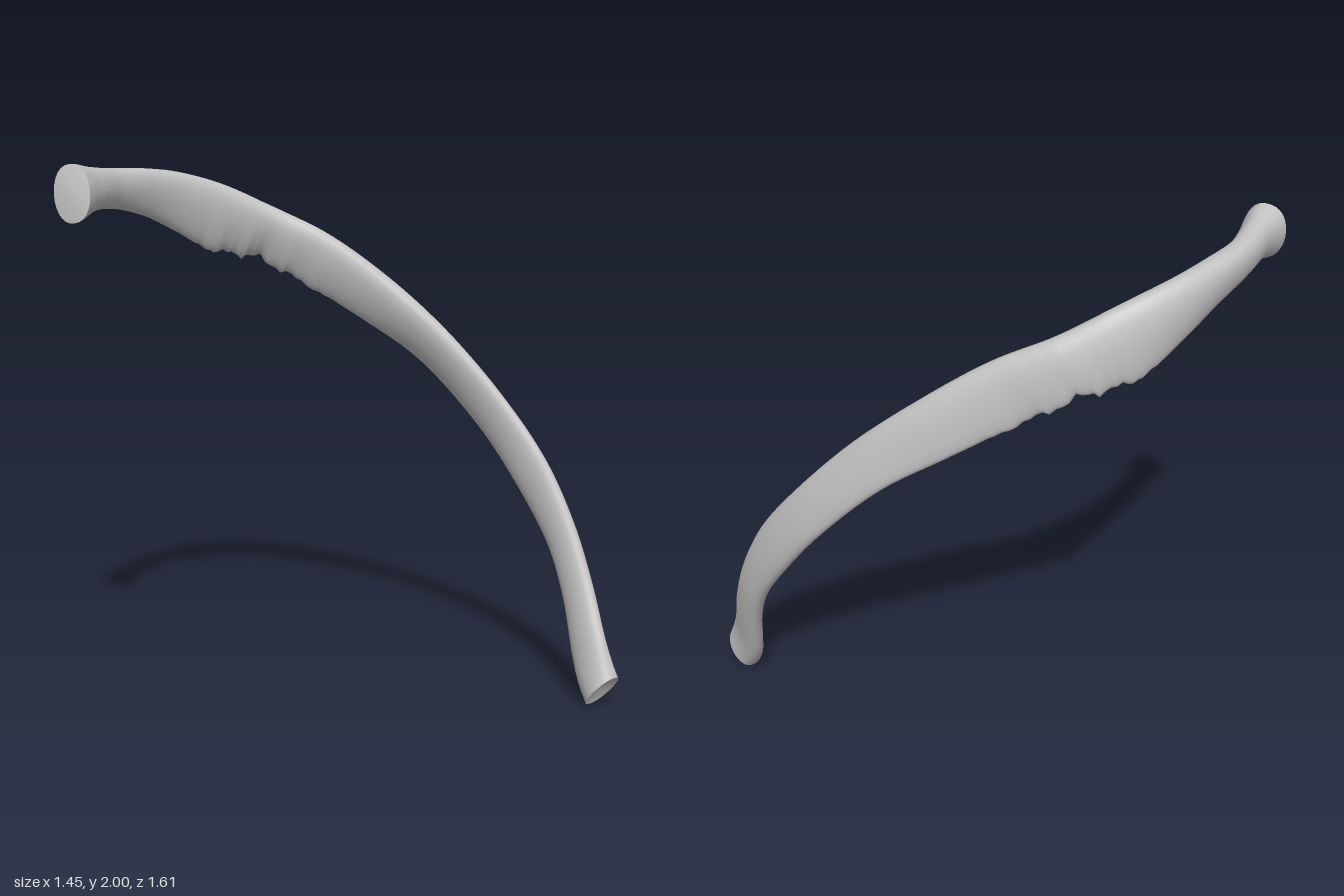
import * as THREE from 'three';

// Stations along the rib: upper edge (x, y, z), lower edge (x, y, z), thickness
const STATIONS = [
  [0.565, 0.13, 0.8, 0.567, 0.0, 0.695, 0.115],
  [0.568, 0.18, 0.775, 0.582, 0.06, 0.65, 0.1],
  [0.58, 0.26, 0.735, 0.605, 0.14, 0.605, 0.085],
  [0.635, 0.45, 0.635, 0.655, 0.36, 0.515, 0.075],
  [0.665, 0.65, 0.53, 0.685, 0.54, 0.42, 0.075],
  [0.67, 0.865, 0.4, 0.69, 0.755, 0.26, 0.075],
  [0.64, 1.085, 0.225, 0.665, 0.965, 0.09, 0.07],
  [0.555, 1.34, 0.0, 0.575, 1.215, -0.14, 0.075],
  [0.465, 1.53, -0.2, 0.46, 1.36, -0.32, 0.08],
  [0.335, 1.7, -0.4, 0.315, 1.5, -0.5, 0.08],
  [0.21, 1.8, -0.56, 0.18, 1.61, -0.65, 0.085],
  [0.05, 1.893, -0.68, 0.02, 1.645, -0.735, 0.09],
  [-0.12, 1.945, -0.745, -0.13, 1.725, -0.765, 0.09],
  [-0.28, 1.965, -0.76, -0.28, 1.79, -0.765, 0.09],
  [-0.45, 1.973, -0.745, -0.45, 1.828, -0.74, 0.09],
  [-0.61, 1.985, -0.7, -0.61, 1.83, -0.67, 0.115],
  [-0.67, 1.995, -0.68, -0.68, 1.81, -0.645, 0.14],
  [-0.7, 2.0, -0.67, -0.715, 1.8, -0.635, 0.15],
];
const STEPS = 170;
const SIDES = 28;

const curveFrom = (k) =>
  new THREE.CatmullRomCurve3(STATIONS.map((s) => new THREE.Vector3(s[k], s[k + 1], s[k + 2])));

// One closed cross-section, wedge shaped towards the lower edge
function section(upper, lower, t) {
  const top = upper.getPoint(t);
  const bottom = lower.getPoint(t);
  const f = t * (STATIONS.length - 1);
  const i = Math.min(Math.floor(f), STATIONS.length - 2);
  const thick = THREE.MathUtils.lerp(STATIONS[i][6], STATIONS[i + 1][6], f - i);

  // Ragged crest on the lower edge of the bend
  const ragged = Math.max(0, 1 - Math.abs(f - 10) / 1.6);
  bottom.y += ragged * (0.014 * Math.sin(f * 9) + 0.01 * Math.sin(f * 23));

  const centre = top.clone().add(bottom).multiplyScalar(0.5);
  const up = top.clone().sub(bottom).multiplyScalar(0.5);
  const along = upper.getTangent(t).add(lower.getTangent(t));
  const side = up.clone().cross(along).normalize();
  const taper = 0.3 * THREE.MathUtils.smoothstep(f, 5, 8) * (1 - THREE.MathUtils.smoothstep(f, 13, 15));

  const ring = [];
  for (let j = 0; j < SIDES; j++) {
    const a = (j / SIDES) * Math.PI * 2;
    const c = Math.cos(a);
    const s = Math.sin(a);
    const width = Math.sign(s) * Math.abs(s) ** 0.85 * (thick / 2) * (1 + taper * c);
    ring.push(centre.clone().addScaledVector(up, c).addScaledVector(side, width));
  }
  return ring;
}

// Skin over a list of rings
function loft(rings) {
  const index = [];
  for (let i = 0; i < rings.length - 1; i++) {
    for (let j = 0; j < SIDES; j++) {
      const a = i * SIDES + j;
      const b = i * SIDES + ((j + 1) % SIDES);
      index.push(a, a + SIDES, b, b, a + SIDES, b + SIDES);
    }
  }
  const geometry = new THREE.BufferGeometry().setFromPoints(rings.flat());
  geometry.setIndex(index);
  geometry.computeVertexNormals();
  return geometry;
}

// End face: rings shrinking to the middle, pushed out (or dished in) along a direction
function endFace(ring, direction, depth, flip) {
  const centre = ring.reduce((sum, p) => sum.add(p), new THREE.Vector3()).divideScalar(SIDES);
  const rings = [1, 0.8, 0.5, 0.2, 0.001].map((scale) =>
    ring.map((p) => p.clone().lerp(centre, 1 - scale).addScaledVector(direction, depth * (1 - scale * scale))));
  return loft(flip ? rings.reverse() : rings);
}

export function createModel() {
  const bone = new THREE.MeshStandardMaterial({ color: 0xc4c4c4 });
  bone.name = 'bone grey';
  const group = new THREE.Group();
  group.name = 'rib';
  const add = (name, geometry) => {
    const mesh = new THREE.Mesh(geometry, bone);
    mesh.name = name;
    group.add(mesh);
  };

  const upper = curveFrom(0);
  const lower = curveFrom(3);
  const rings = [];
  for (let i = 0; i <= STEPS; i++) rings.push(section(upper, lower, i / STEPS));

  add('ribShaft', loft(rings));
  // Dished front end and slightly domed head
  add('frontEnd', endFace(rings[0], upper.getTangent(0).negate(), -0.02, true));
  add('ribHead', endFace(rings[STEPS], upper.getTangent(1), 0.01, false));
  return group;
}
